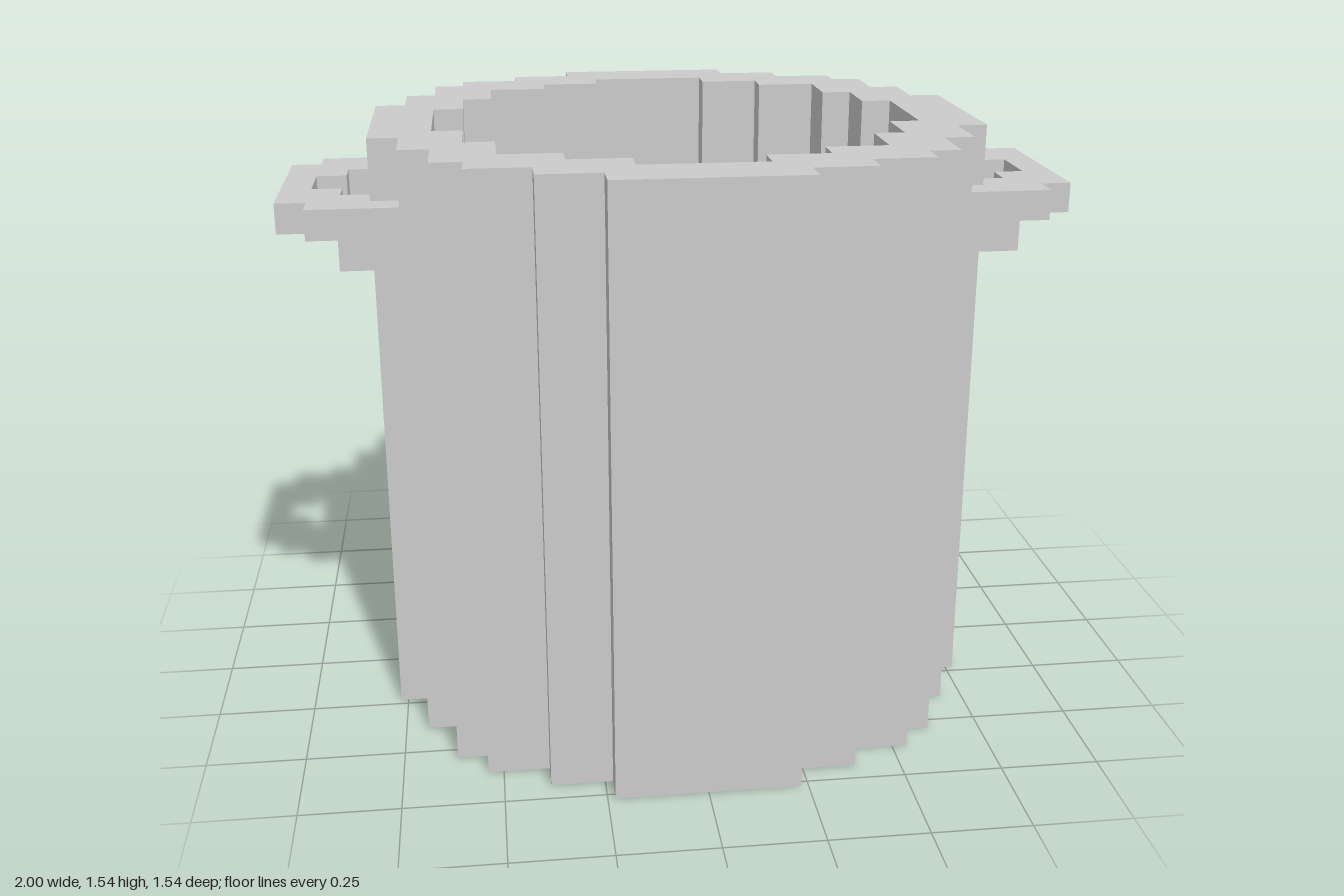
import * as THREE from 'three';

const U = 1 / 13; // one block of the stepped grid
const material = new THREE.MeshStandardMaterial({ color: 0xcccccc, flatShading: true });

// Closed stepped outline from one quadrant's corners (starting near the +z side)
function ring(quarter) {
  const back = [...quarter].reverse();
  return [
    ...quarter,
    ...back.map(([x, z]) => [x, -z]),
    ...quarter.map(([x, z]) => [-x, -z]),
    ...back.map(([x, z]) => [-x, z]),
  ];
}

const toVectors = (points) => points.map(([x, z]) => new THREE.Vector2(x * U, -z * U));

// Upright prism from a plan outline, between two heights in blocks
function prism(name, outline, y0, y1, hole) {
  const shape = new THREE.Shape(toVectors(outline));
  if (hole) shape.holes.push(new THREE.Path(toVectors(hole)));
  const geometry = new THREE.ExtrudeGeometry(shape, { depth: (y1 - y0) * U, bevelEnabled: false });
  geometry.rotateX(-Math.PI / 2);
  geometry.translate(0, y0 * U, 0);
  const mesh = new THREE.Mesh(geometry, material);
  mesh.name = name;
  return mesh;
}

function createHandle(name) {
  const handle = new THREE.Group();
  handle.name = name;
  // Looped grip
  handle.add(prism('grip', [
    [9, 4], [12, 4], [12, 3], [13, 3], [13, -3], [12, -3], [12, -4], [9, -4], [9, -3], [10, -3],
    [10, -2], [11, -2], [11, -1], [12, -1], [12, 1], [11, 1], [11, 2], [10, 2], [10, 3], [9, 3],
  ], 17, 18));
  // Brackets below both ends of the grip
  const bracket = [[9, 4], [11, 4], [11, 2], [10, 2], [10, 3], [9, 3]];
  for (const s of [1, -1]) {
    handle.add(prism(s > 0 ? 'frontBracket' : 'backBracket', bracket.map(([x, z]) => [x, s * z]), 16, 17));
  }
  return handle;
}

export function createModel() {
  const pot = new THREE.Group();
  pot.name = 'pot';

  const outer = ring([[3, 10], [3, 9], [5, 9], [5, 8], [7, 8], [7, 7], [8, 7], [8, 5], [9, 5], [9, 3], [10, 3]]);
  const inner = ring([[2, 8], [2, 7], [4, 7], [4, 6], [6, 6], [6, 4], [7, 4], [7, 2], [8, 2]]);

  // Stepped wall and the filled inside
  pot.add(prism('wall', outer, 0, 20, inner));
  pot.add(prism('filling', inner, 0, 16));

  // Side handles
  const left = createHandle('leftHandle');
  const right = createHandle('rightHandle');
  right.rotation.y = Math.PI;
  pot.add(left, right);
  return pot;
}
